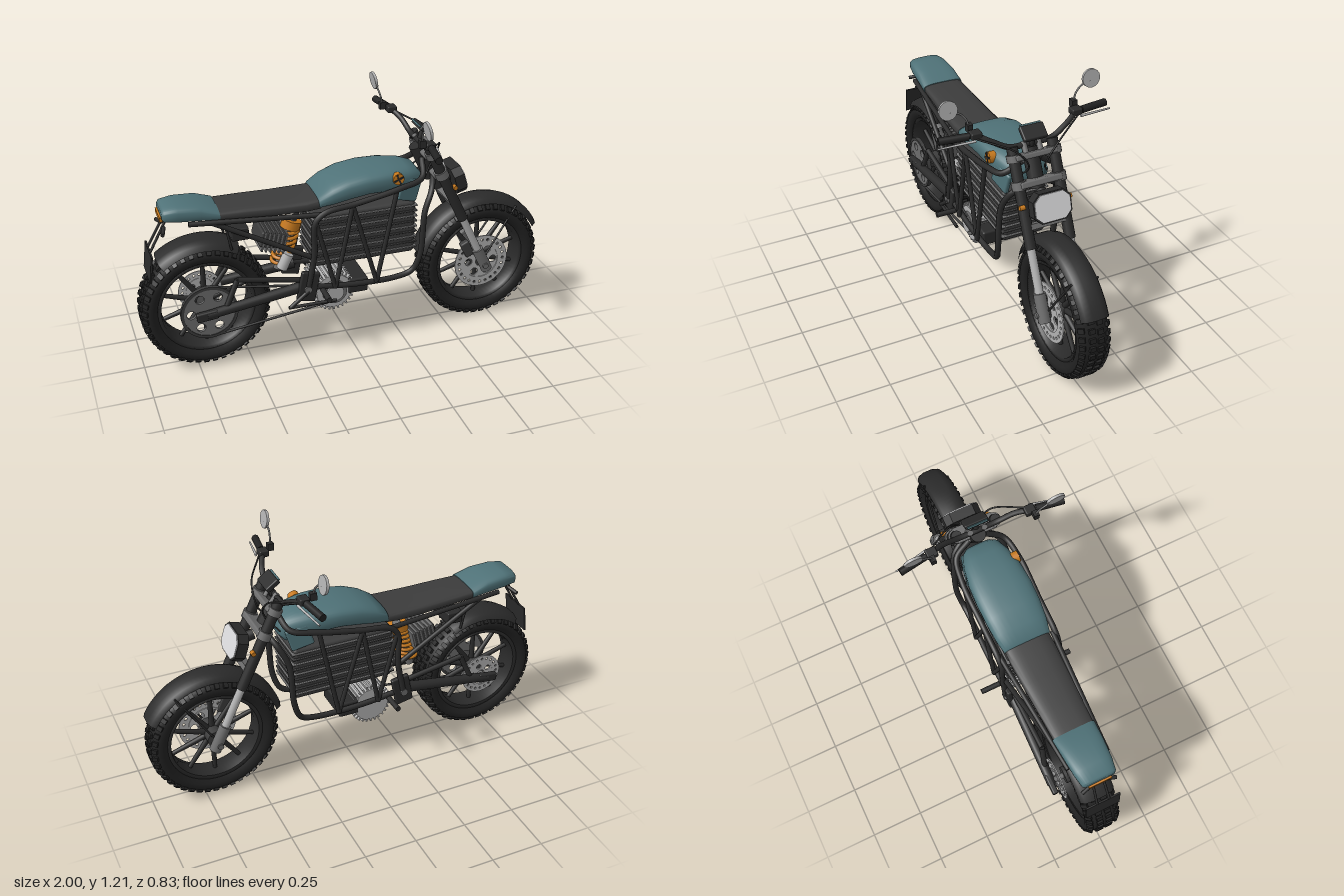
import * as THREE from 'three';
import { mergeGeometries, toCreasedNormals } from 'three/addons/utils/BufferGeometryUtils.js';
import { RoundedBoxGeometry } from 'three/addons/geometries/RoundedBoxGeometry.js';

const V = (x, y, z) => new THREE.Vector3(x, y, z);
const mat = (name, color) => Object.assign(new THREE.MeshStandardMaterial({ color, side: THREE.DoubleSide }), { name });
const black = mat('frame black', 0x2b2b2b), rubber = mat('tyre rubber', 0x222222), dark = mat('dark grey', 0x3c3c3c),
  grey = mat('metal grey', 0x6c6c6c), silver = mat('silver', 0xb2b2b2), white = mat('lamp white', 0xdcdcde),
  teal = mat('teal paint', 0x4f7278), orange = mat('orange', 0xc87a1e);

export function createModel() {
  const root = new THREE.Group();
  const add = (name, geo, m, parent = root) => {
    const mesh = new THREE.Mesh(geo, m);
    mesh.name = name;
    parent.add(mesh);
    return mesh;
  };
  const rod = (name, a, b, r, m, r2 = r, parent = root) => {
    const d = b.clone().sub(a);
    const mesh = add(name, new THREE.CylinderGeometry(r2, r, d.length(), 16), m, parent);
    mesh.position.copy(a).addScaledVector(d, 0.5);
    mesh.quaternion.setFromUnitVectors(V(0, 1, 0), d.normalize());
    return mesh;
  };
  const tube = (name, pts, r, m) => add(name, new THREE.TubeGeometry(
    new THREE.CatmullRomCurve3(pts.map(p => V(...p)), false, 'centripetal'), pts.length * 8, r, 10), m);
  const box = (name, x, y, z, w, h, d, m, tilt = 0, round = 0) => {
    const mesh = add(name, round ? new RoundedBoxGeometry(w, h, d, 3, round) : new THREE.BoxGeometry(w, h, d), m);
    mesh.position.set(x, y, z);
    mesh.rotation.z = tilt;
    return mesh;
  };
  const both = fn => [1, -1].forEach(fn);
  // surface of revolution around the z axis
  const spin = (pts, seg = 64, start = 0, len = Math.PI * 2) => new THREE.LatheGeometry(
    pts.map(p => new THREE.Vector2(...p)), seg, start + Math.PI / 2, len).rotateX(Math.PI / 2);
  // flat ring with a circle of holes, facing z
  const disc = (R, r, n, holeAt, holeR, depth) => {
    const s = new THREE.Shape().absarc(0, 0, R, 0, Math.PI * 2);
    if (r) s.holes.push(new THREE.Path().absarc(0, 0, r, 0, Math.PI * 2));
    for (let i = 0; i < n; i++) {
      const a = i / n * Math.PI * 2;
      s.holes.push(new THREE.Path().absarc(holeAt * Math.cos(a), holeAt * Math.sin(a), holeR, 0, Math.PI * 2));
    }
    return new THREE.ExtrudeGeometry(s, { depth, bevelEnabled: false, curveSegments: 24 }).translate(0, 0, -depth / 2);
  };
  // rounded body lofted along x from [x, bottom, top, half width]
  const loft = (secs, power = 0.6, n = 32) => {
    const pos = [], idx = [], f = v => Math.sign(v) * Math.abs(v) ** power;
    const cap = s => [s[0], (s[1] + s[2]) / 2, (s[1] + s[2]) / 2 + 0.001, 0.001];
    const all = [cap(secs[0]), ...secs, cap(secs.at(-1))];
    all.forEach(([x, b, t, w], i) => {
      for (let j = 0; j < n; j++) {
        const a = j / n * Math.PI * 2, k = i * n + j, l = i * n + (j + 1) % n;
        pos.push(x, (b + t) / 2 + (t - b) / 2 * f(Math.sin(a)), w * f(Math.cos(a)));
        if (i < all.length - 1) idx.push(k, k + n, l + n, k, l + n, l);
      }
    });
    const g = new THREE.BufferGeometry();
    g.setAttribute('position', new THREE.Float32BufferAttribute(pos, 3));
    g.setIndex(idx);
    return toCreasedNormals(g, 0.8);
  };

  // Wheels: knobbly tyre, rim, ten spokes, hub
  const wheel = (name, x, R, w) => {
    const g = new THREE.Group();
    g.name = name;
    g.position.set(x, 0.312, 0);
    root.add(g);
    add('tyre', spin([[0.225, -w * 0.7], [0.25, -w * 0.93], [0.275, -w * 0.95], [R - 0.015, -w * 0.75], [R - 0.008, 0],
      [R - 0.015, w * 0.75], [0.275, w * 0.95], [0.25, w * 0.93], [0.225, w * 0.7], [0.225, -w * 0.7]]), rubber, g);
    const knobs = [];
    for (let i = 0; i < 44; i++) for (const row of [-1, -0.33, 0.33, 1]) {
      const side = Math.abs(row) === 1;
      const k = new THREE.BoxGeometry(0.022, 0.02, w * 0.36);
      if (side) k.rotateX(row * 0.75);
      k.translate(0, R - (side ? 0.022 : 0.01), row * w * 0.8);
      knobs.push(k.rotateZ((i + (side ? 0.5 : row > 0 ? 0.25 : 0)) / 44 * Math.PI * 2));
    }
    add('tread knobs', mergeGeometries(knobs), rubber, g);
    add('rim', spin([[0.212, -w * 0.7], [0.235, -w * 0.75], [0.235, w * 0.75], [0.212, w * 0.7], [0.205, 0], [0.212, -w * 0.7]]), black, g);
    for (let i = 0; i < 10; i++) {
      const a = (i + 0.5) / 10 * Math.PI * 2, c = Math.cos(a), s = Math.sin(a);
      rod('spoke', V(0.03 * c, 0.03 * s, 0), V(0.215 * c, 0.215 * s, 0), 0.014, black, 0.01, g);
    }
    rod('hub', V(0, 0, -0.065), V(0, 0, 0.065), 0.042, dark, 0.042, g);
    rod('axle', V(0, 0, -0.13), V(0, 0, 0.13), 0.014, grey, 0.014, g);
    return g;
  };
  const front = wheel('frontWheel', 0.685, 0.31, 0.075), rear = wheel('rearWheel', -0.695, 0.306, 0.085);
  add('front brake disc', disc(0.14, 0.09, 24, 0.118, 0.007, 0.006), silver, front).position.z = 0.068;
  add('front disc carrier', disc(0.094, 0.03, 6, 0.065, 0.019, 0.006), silver, front).position.z = 0.064;
  add('rear brake disc', disc(0.105, 0.065, 20, 0.086, 0.006, 0.006), silver, rear).position.z = -0.098;
  add('rear disc carrier', disc(0.068, 0.02, 5, 0.045, 0.013, 0.006), silver, rear).position.z = -0.096;
  add('rear sprocket', disc(0.13, 0, 6, 0.085, 0.021, 0.014), grey, rear).position.z = 0.108;
  add('chain ring', disc(0.134, 0.12, 0, 0, 0, 0.02), dark, rear).position.z = 0.108;

  // Fenders
  const fender = (name, x, r, w, from, to) => {
    const rad = Math.PI / 180;
    add(name, spin([[r - 0.035, -w], [r - 0.01, -w * 0.8], [r, -w * 0.35], [r, w * 0.35], [r - 0.01, w * 0.8], [r - 0.035, w]],
      36, from * rad, (to - from) * rad), black).position.set(x, 0.312, 0);
  };
  fender('front fender', 0.685, 0.343, 0.067, 28, 165);
  fender('rear fender', -0.695, 0.335, 0.085, 60, 129);

  // Fork, triple clamps and head tube, laid along the steering axis
  const fx = y => 0.385 + (0.945 - y) * 0.481, P = (y, z, dx = 0) => V(fx(y) + dx, y, z);
  both(s => {
    const z = s * 0.096;
    rod('fork upper tube', P(0.985, z), P(0.58, z), 0.025, black);
    rod('fork slider', P(0.6, z), P(0.38, z), 0.019, silver);
    rod('fork foot', P(0.4, z), P(0.28, z), 0.028, grey);
    rod('fork upper collar', P(0.955, z), P(0.925, z), 0.033, grey);
    rod('fork lower collar', P(0.85, z), P(0.815, z), 0.033, grey);
    rod('front indicator', P(0.762, s * 0.1, 0.03), P(0.762, s * 0.125, 0.03), 0.011, orange);
    rod('fender stay', V(0.69, 0.32, s * 0.075), V(0.86, 0.585, s * 0.063), 0.005, black);
    rod('bar riser', P(0.94, s * 0.035), V(0.35, 0.99, s * 0.035), 0.013, grey);
  });
  box('upper triple clamp', fx(0.94), 0.94, 0, 0.075, 0.026, 0.2, grey, 0.45, 0.008);
  box('lower triple clamp', fx(0.833), 0.833, 0, 0.075, 0.03, 0.2, grey, 0.45, 0.008);
  rod('head tube', P(0.955, 0, -0.035), P(0.79, 0, -0.035), 0.036, black);
  box('fork brace', fx(0.665), 0.665, 0, 0.04, 0.025, 0.17, grey, 0.45);
  box('front caliper', 0.6, 0.4, 0.075, 0.045, 0.085, 0.035, dark, 0.45, 0.008);

  // Octagonal headlamp
  const lamp = new THREE.Group();
  lamp.name = 'headlamp';
  lamp.position.set(0.545, 0.772, 0);
  lamp.rotation.set(0, Math.PI / 2, 0);
  const octagon = (w, h, c, depth) => new THREE.ExtrudeGeometry(new THREE.Shape([[w, h - c], [w - c, h], [c - w, h], [-w, h - c],
    [-w, c - h], [c - w, -h], [w - c, -h], [w, c - h]].map(p => new THREE.Vector2(...p))), { depth, bevelEnabled: false });
  add('headlamp shell', octagon(0.09, 0.068, 0.032, 0.05), black, lamp).position.z = -0.03;
  add('headlamp lens', octagon(0.084, 0.062, 0.03, 0.008), white, lamp).position.z = 0.017;
  const tilt = new THREE.Group();
  tilt.name = 'headlamp mount';
  tilt.add(lamp);
  lamp.position.set(0, 0, 0);
  tilt.position.set(0.55, 0.772, 0);
  tilt.rotation.z = 0.3;
  root.add(tilt);
  rod('headlamp bracket', V(0.46, 0.79, 0), V(0.54, 0.772, 0), 0.025, black);

  // Handlebar, controls, mirrors
  tube('handlebar', [[0.29, 1.047, 0.4], [0.31, 1.05, 0.25], [0.34, 1.02, 0.18], [0.355, 0.98, 0.1], [0.355, 0.978, 0],
    [0.355, 0.98, -0.1], [0.34, 1.02, -0.18], [0.31, 1.05, -0.25], [0.29, 1.047, -0.4]], 0.013, black);
  both(s => {
    rod('grip', V(0.308, 1.05, s * 0.27), V(0.288, 1.047, s * 0.4), 0.017, rubber);
    box('switch housing', 0.31, 1.053, s * 0.24, 0.045, 0.032, 0.05, black, 0, 0.006);
    rod('lever', V(0.34, 1.04, s * 0.25), V(0.31, 1.024, s * 0.413), 0.006, silver, 0.004);
    box('mirror clamp', 0.27, 1.07, s * 0.25, 0.03, 0.035, 0.025, black);
    tube('mirror stem', [[0.27, 1.07, s * 0.25], [0.265, 1.11, s * 0.262], [0.26, 1.14, s * 0.29], [0.262, 1.158, s * 0.335]], 0.0045, grey);
    rod('mirror', V(0.252, 1.165, s * 0.34), V(0.264, 1.167, s * 0.34), 0.043, silver);
    tube('control cable', [[0.33, 1.04, s * 0.24], [0.42, 0.99, s * 0.1], [0.42, 0.9, s * 0.04], [0.36, 0.82, s * 0.08]], 0.004, black);
  });
  box('dash housing', 0.375, 1.04, 0, 0.025, 0.07, 0.112, black, 0.95, 0.006);
  box('dash screen', 0.366, 1.048, 0, 0.008, 0.062, 0.098, teal, 0.95);
  rod('dash stalk', V(0.36, 0.97, 0), V(0.377, 1.035, 0), 0.012, black);

  // Tank, seat, tail
  add('tank', loft([[-0.17, 0.755, 0.785, 0.1], [-0.16, 0.745, 0.81, 0.115], [-0.1, 0.75, 0.85, 0.127], [-0.02, 0.765, 0.88, 0.134],
    [0.08, 0.78, 0.893, 0.136], [0.18, 0.775, 0.894, 0.13], [0.27, 0.75, 0.888, 0.112], [0.33, 0.75, 0.868, 0.09], [0.355, 0.78, 0.835, 0.065]], 0.65), teal);
  both(s => {
    const cheek = box('tank cheek', 0.275, 0.78, s * 0.098, 0.11, 0.11, 0.025, teal, -0.3, 0.01);
    cheek.rotation.y = s * 0.2;
  });
  add('seat', loft([[-0.63, 0.755, 0.803, 0.098], [-0.5, 0.745, 0.803, 0.102], [-0.35, 0.737, 0.798, 0.108], [-0.22, 0.735, 0.798, 0.112],
    [-0.155, 0.74, 0.8, 0.11]]), dark);
  add('tail cowl', loft([[-0.87, 0.785, 0.825, 0.07], [-0.86, 0.772, 0.838, 0.082], [-0.8, 0.765, 0.846, 0.092], [-0.7, 0.76, 0.838, 0.099],
    [-0.618, 0.757, 0.806, 0.103]]), teal);
  box('tail lamp', -0.872, 0.787, 0, 0.014, 0.022, 0.11, orange);
  rod('tank roundel', V(0.21, 0.853, 0.105), V(0.21, 0.856, 0.137), 0.027, orange);
  for (const a of [0, Math.PI / 2]) box('roundel cross', 0.21, 0.856, 0.138, 0.05, 0.008, 0.006, black, a + 0.4);

  // Battery pack with wrap-around fins
  box('battery', 0.06, 0.585, 0, 0.5, 0.27, 0.215, dark, 0, 0.02);
  for (let i = 0; i < 9; i++) box('battery fin', 0.06, 0.482 + i * 0.027, 0, 0.515, 0.009, 0.23, i % 2 ? dark : grey, 0, 0.004);

  // Trellis frame, mirrored
  both(s => {
    const z = s * 0.145;
    tube('main frame tube', [[0.36, 0.9, s * 0.04], [0.33, 0.84, s * 0.12], [0.22, 0.815, z], [0, 0.77, z], [-0.15, 0.745, z], [-0.195, 0.7, z],
      [-0.2, 0.55, z], [-0.23, 0.38, z]], 0.014, black);
    tube('down tube', [[0.42, 0.815, s * 0.04], [0.385, 0.76, s * 0.11], [0.345, 0.67, s * 0.135], [0.325, 0.45, s * 0.14], [0.29, 0.365, s * 0.13],
      [0.22, 0.34, s * 0.125], [0, 0.342, s * 0.13], [-0.25, 0.37, s * 0.13]], 0.014, black);
    const truss = [[-0.19, 0.7], [-0.1, 0.35], [-0.015, 0.765], [0.105, 0.345], [0.2, 0.81]];
    for (let i = 0; i < 4; i++) rod('truss tube', V(...truss[i], z), V(...truss[i + 1], z), 0.011, black);
    rod('seat rail', V(-0.15, 0.735, s * 0.135), V(-0.76, 0.765, s * 0.095), 0.012, black);
    rod('subframe strut', V(-0.66, 0.76, s * 0.1), V(-0.2, 0.52, s * 0.135), 0.012, black);
    box('pivot plate', -0.23, 0.375, s * 0.135, 0.09, 0.15, 0.025, black, -0.2, 0.008);
    rod('pivot bolt', V(-0.235, 0.365, s * 0.13), V(-0.235, 0.365, s * 0.158), 0.018, grey);
    // Swingarm
    rod('swingarm', V(-0.23, 0.37, s * 0.115), V(-0.71, 0.31, s * 0.132), 0.027, black, 0.022);
    rod('swingarm brace', V(-0.25, 0.4, s * 0.11), V(-0.56, 0.46, s * 0.115), 0.013, black);
    rod('swingarm brace', V(-0.56, 0.46, s * 0.115), V(-0.62, 0.325, s * 0.125), 0.013, black);
    box('axle clamp', -0.71, 0.31, s * 0.135, 0.1, 0.045, 0.028, black, 0.1, 0.008);
    rod('foot peg', V(-0.16, 0.345, s * 0.13), V(-0.16, 0.345, s * 0.24), 0.013, black);
    rod('fender bracket', V(-0.6, 0.75, s * 0.085), V(-0.57, 0.6, s * 0.08), 0.006, black);
    rod('rear indicator', V(-0.86, 0.735, s * 0.03), V(-0.875, 0.725, s * 0.085), 0.009, black);
    rod('plate bracket', V(-0.85, 0.765, s * 0.025), V(-0.93, 0.62, s * 0.03), 0.006, black);
  });
  box('plate holder', -0.937, 0.56, 0, 0.008, 0.13, 0.17, black, -0.12);
  rod('brake pedal', V(-0.33, 0.285, 0.15), V(-0.1, 0.29, 0.16), 0.008, black);
  rod('pedal arm', V(-0.23, 0.36, 0.15), V(-0.32, 0.285, 0.15), 0.01, black);

  // Motor with ribs, drive chain
  rod('motor', V(-0.09, 0.3, -0.095), V(-0.09, 0.3, 0.095), 0.088, silver);
  for (let i = 0; i < 28; i++) {
    const a = i / 28 * Math.PI * 2;
    box('motor rib', -0.09 + 0.092 * Math.cos(a), 0.3 + 0.092 * Math.sin(a), 0, 0.024, 0.008, 0.18, silver, a);
  }
  rod('motor cover', V(-0.09, 0.3, 0.09), V(-0.09, 0.3, 0.108), 0.06, grey);
  rod('drive pinion', V(-0.09, 0.3, 0.1), V(-0.09, 0.3, 0.118), 0.042, silver);
  box('motor mount', 0.03, 0.31, 0, 0.1, 0.075, 0.2, black, 0, 0.01);
  for (const [a, b] of [[0.18, 0.258], [0.44, 0.342]]) rod('drive chain', V(-0.69, a, 0.108), V(-0.09, b, 0.108), 0.006, dark);

  // Rear shock with coil spring and reservoir
  const top = V(-0.26, 0.67, 0), low = V(-0.34, 0.42, 0), coil = [];
  rod('shock body', low, top, 0.02, grey);
  for (let i = 0; i <= 84; i++) {
    const a = i / 12 * Math.PI * 2, p = low.clone().lerp(top, 0.15 + 0.7 * i / 84);
    coil.push(p.add(V(0.044 * Math.cos(a), 0, 0.044 * Math.sin(a))));
  }
  add('shock spring', new THREE.TubeGeometry(new THREE.CatmullRomCurve3(coil), 168, 0.009, 8), orange);
  rod('shock top collar', V(-0.275, 0.625, 0), V(-0.262, 0.665, 0), 0.047, orange);
  rod('shock reservoir', V(-0.335, 0.45, 0.06), V(-0.3, 0.52, 0.06), 0.026, silver);

  // Controller with cooling fins, and fuse box
  box('controller', -0.375, 0.61, 0, 0.12, 0.075, 0.16, dark, -0.25, 0.008);
  for (let i = 0; i < 6; i++) box('controller fin', -0.42 + i * 0.02, 0.612 - i * 0.005, 0, 0.008, 0.1, 0.165, grey, -0.25);
  box('fuse box', -0.53, 0.675, 0, 0.08, 0.06, 0.19, black, 0, 0.006);
  return root;
}
